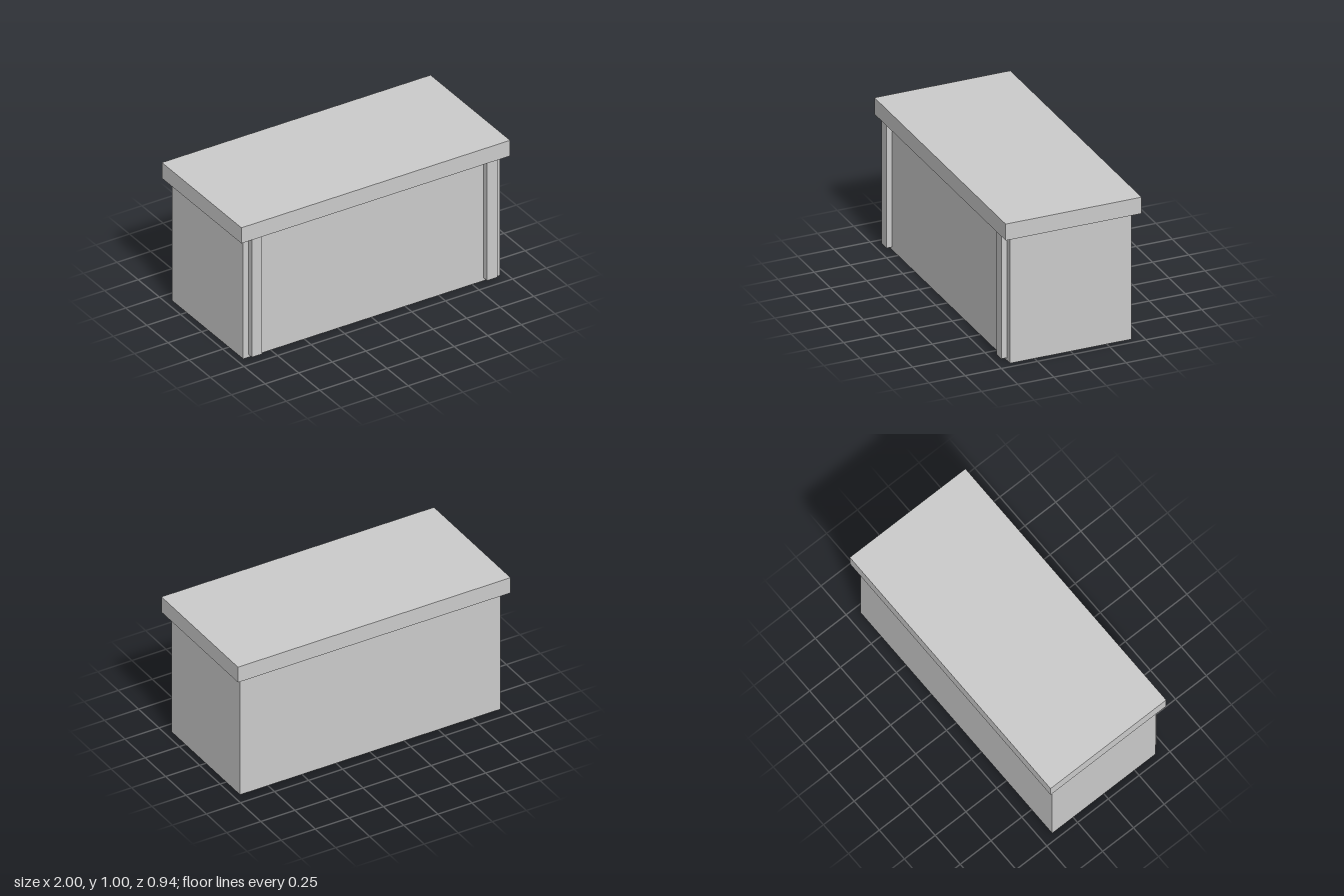
import * as THREE from 'three';

const material = new THREE.MeshStandardMaterial({ color: 0xcccccc, flatShading: true });

// Box given by its lower and upper corners
function block(name, [x0, y0, z0], [x1, y1, z1]) {
  const mesh = new THREE.Mesh(new THREE.BoxGeometry(x1 - x0, y1 - y0, z1 - z0), material);
  mesh.position.set((x0 + x1) / 2, (y0 + y1) / 2, (z0 + z1) / 2);
  mesh.name = name;
  return mesh;
}

export function createModel() {
  const model = new THREE.Group();
  model.name = 'counter';

  // Solid cabinet and overhanging top slab
  model.add(block('body', [-0.955, 0, -0.42], [0.955, 0.89, 0.42]));
  model.add(block('countertop', [-1, 0.89, -0.47], [1, 1.005, 0.47]));

  // Raised strips near both front corners, just clear of the floor
  for (const [name, x] of [['leftPilaster', 0.873], ['rightPilaster', -0.877]]) {
    model.add(block(name, [x - 0.038, 0.02, 0.42], [x + 0.038, 0.89, 0.46]));
  }
  return model;
}
